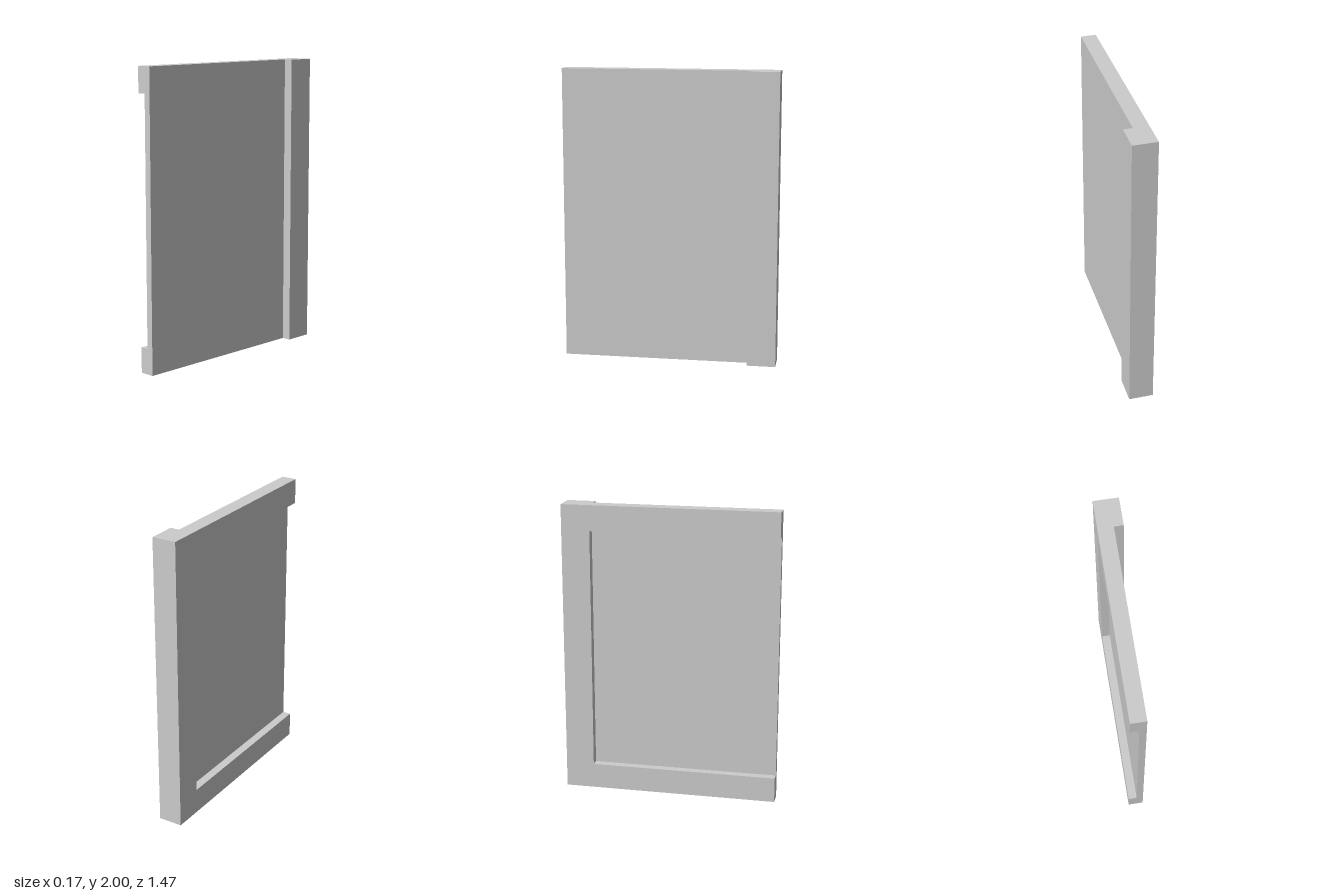
import * as THREE from 'three';

export function createModel() {
  const group = new THREE.Group();
  group.name = 'recessedPanel';
  const material = new THREE.MeshStandardMaterial({ color: 0xcccccc, flatShading: true });

  // Box given by its limits on each axis
  const addBox = (name, [x0, x1], [y0, y1], [z0, z1]) => {
    const mesh = new THREE.Mesh(new THREE.BoxGeometry(x1 - x0, y1 - y0, z1 - z0), material);
    mesh.position.set((x0 + x1) / 2, (y0 + y1) / 2, (z0 + z1) / 2);
    mesh.name = name;
    group.add(mesh);
  };

  const outer = -0.083, recess = -0.025, face = 0.021, lip = 0.083;
  const back = -0.735, postFront = -0.54, front = 0.735;
  const height = 2, rail = 0.172;

  // Full-height post along the back edge, standing proud of the panel face
  addBox('backPost', [outer, lip], [0, height], [back, postFront]);

  // Thin panel
  addBox('panel', [recess, face], [0, height], [postFront, front]);

  // Rails that frame the recess, which stays open at the front edge
  addBox('bottomRail', [outer, recess], [0, rail], [postFront, front]);
  addBox('topRail', [outer, recess], [height - rail, height], [postFront, front]);

  return group;
}
